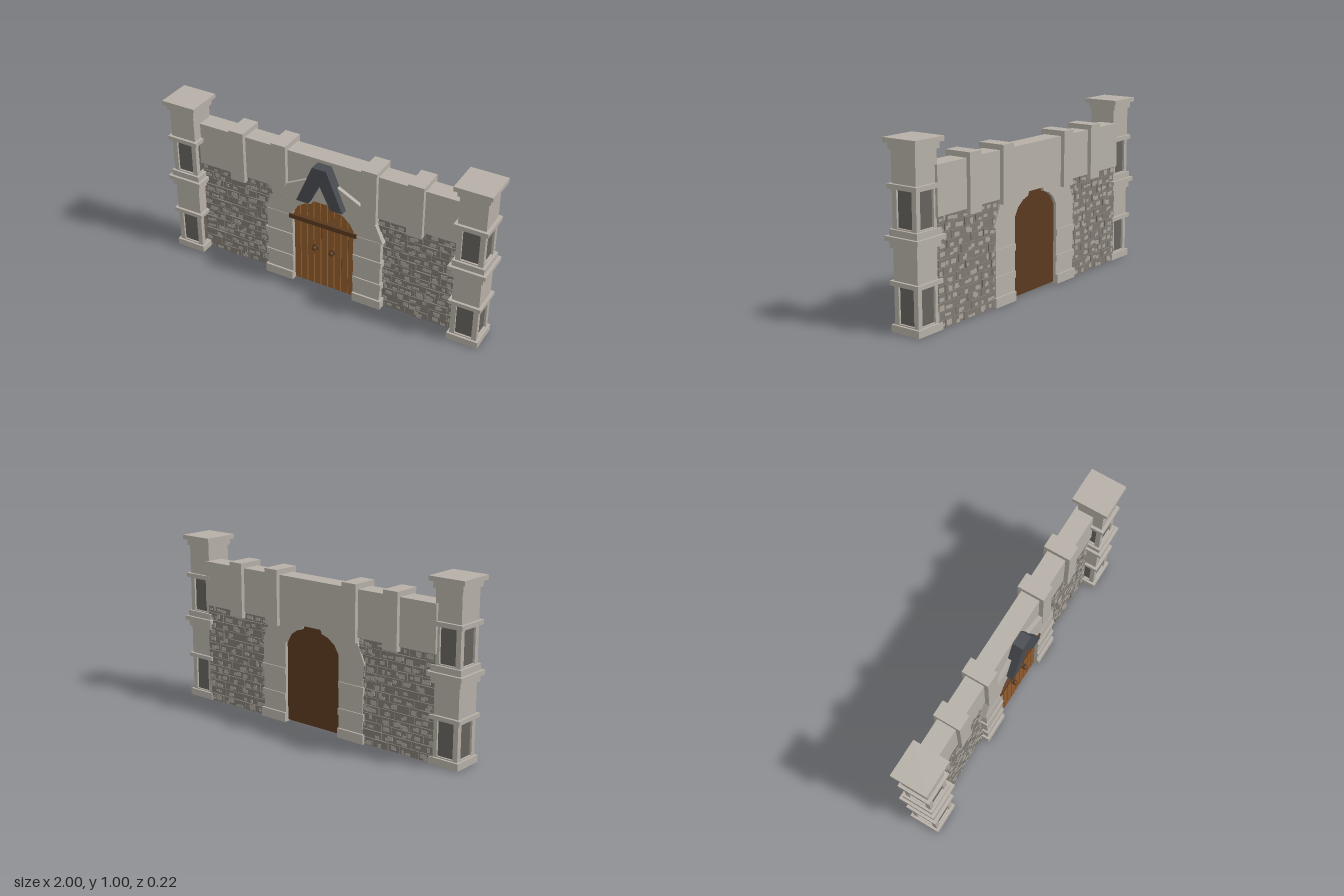
import * as THREE from 'three';

const mat = (color) => new THREE.MeshStandardMaterial({ color, flatShading: true });
const STONE = mat(0xb5afa6), PANEL = mat(0x66625c), BRICK = mat(0x7f7a72), LIGHT = mat(0xaaa49b);
const WOOD = mat(0x8f5a2c), DARKWOOD = mat(0x5a3a1f), IRON = mat(0x484b50);

function add(parent, name, geometry, material) {
  const m = new THREE.Mesh(geometry, material);
  m.name = name;
  parent.add(m);
  return m;
}

// Box given by its extents on each axis
function box(parent, name, material, x0, x1, y0, y1, z0, z1) {
  const m = add(parent, name, new THREE.BoxGeometry(x1 - x0, y1 - y0, z1 - z0), material);
  m.position.set((x0 + x1) / 2, (y0 + y1) / 2, (z0 + z1) / 2);
  return m;
}

// Flat outline pushed from z0 to z1
function slab(parent, name, material, points, z0, z1) {
  const shape = new THREE.Shape(points.map(([x, y]) => new THREE.Vector2(x, y)));
  const m = add(parent, name, new THREE.ExtrudeGeometry(shape, { depth: z1 - z0, bevelEnabled: false }), material);
  m.position.z = z0;
  return m;
}

const mirrored = (pts) => [...pts, ...pts.slice().reverse().map(([x, y]) => [-x, y])];

function seeded(seed) {
  return () => {
    seed = (seed * 16807) % 2147483647;
    return seed / 2147483647;
  };
}

// Square pillar: solid tiers, and panelled tiers with recessed dark faces
function pillar(side) {
  const g = new THREE.Group();
  g.name = side > 0 ? 'leftPillar' : 'rightPillar';
  g.position.set(side * 0.893, 0, 0.003);
  const tiers = [
    ['base', 0, 0.04, 0.092], ['lowerBand', 0.247, 0.27, 0.095], ['lowerShaft', 0.27, 0.44, 0.079],
    ['middleStep', 0.44, 0.477, 0.091], ['middleLedge', 0.477, 0.502, 0.108], ['middlePlinth', 0.502, 0.536, 0.092],
    ['upperBand', 0.741, 0.766, 0.096], ['upperShaft', 0.766, 0.935, 0.079],
    ['capStep', 0.935, 0.97, 0.09], ['cap', 0.97, 0.996, 0.107],
  ];
  for (const [name, y0, y1, h] of tiers) box(g, name, STONE, -h, h, y0, y1, -h, h);
  for (const [y0, y1] of [[0.04, 0.247], [0.536, 0.741]]) {
    box(g, 'recessedPanel', PANEL, -0.067, 0.067, y0, y1, -0.067, 0.067);
    for (const sx of [-1, 1]) for (const sz of [-1, 1]) {
      const m = box(g, 'cornerPost', STONE, -0.0145, 0.0145, y0, y1, -0.0145, 0.0145);
      m.position.x = sx * 0.0645;
      m.position.z = sz * 0.0645;
    }
    // Thin rails closing the frame above and below the panels
    for (const y of [y0, y1 - 0.006]) box(g, 'panelRail', STONE, -0.078, 0.078, y, y + 0.006, -0.078, 0.078);
  }
  return g;
}

// Coursed, mottled stonework on both faces of one wall bay
function brickBay(side) {
  const g = new THREE.Group();
  g.name = side > 0 ? 'leftBrickwork' : 'rightBrickwork';
  const rand = seeded(side > 0 ? 91 : 457);
  const lo = side > 0 ? 0.33 : -0.825, hi = side > 0 ? 0.825 : -0.33;
  box(g, 'mortar', PANEL, lo, hi, 0, 0.6, -0.072, 0.004);
  const rows = 13, h = 0.595 / rows;
  for (let r = 0; r < rows; r++) {
    for (const front of [true, false]) {
      let x = lo + 0.002;
      while (x < hi - 0.01) {
        const end = Math.min(x + 0.05 + rand() * 0.09, hi);
        const out = 0.006 + rand() * 0.007;
        const face = front ? 0.004 + out : -0.072 - out;
        const y0 = r * h + 0.002, y1 = (r + 1) * h - 0.002;
        box(g, 'brick', BRICK, x, end - 0.003, y0, y1, Math.min(face, -0.034), Math.max(face, -0.034));
        // Pale weathered patches on the face
        for (let k = 0; k < 2; k++) {
          const w = 0.015 + rand() * 0.025, px = x + rand() * Math.max(0, end - x - w - 0.003);
          const py = y0 + rand() * 0.014, ph = 0.012 + rand() * 0.014;
          if (px + w < end) box(g, 'palePatch', LIGHT, px, px + w, py, py + ph, face - 0.0015, face + 0.0015);
        }
        x = end;
      }
    }
  }
  return g;
}

// Stepped stone jamb beside the door
function jamb(side) {
  const g = new THREE.Group();
  g.name = side > 0 ? 'leftJamb' : 'rightJamb';
  const blocks = [
    [0, 0.055, 0.375, 0.06, -0.1], [0.055, 0.13, 0.363, 0.048, -0.088], [0.13, 0.17, 0.372, 0.055, -0.095],
    [0.17, 0.285, 0.363, 0.048, -0.088], [0.285, 0.322, 0.372, 0.055, -0.095], [0.322, 0.45, 0.363, 0.048, -0.088],
  ];
  for (const [y0, y1, x, zf, zb] of blocks) {
    const a = side * 0.195, b = side * x;
    box(g, 'jambBlock', STONE, Math.min(a, b), Math.max(a, b), y0, y1, zb, zf);
  }
  return g;
}

function door() {
  const g = new THREE.Group();
  g.name = 'door';
  // Height of the rounded door head at distance x from the middle
  const head = [[0, 0.59], [0.065, 0.59], [0.075, 0.567], [0.12, 0.553], [0.165, 0.52], [0.2, 0.465]];
  const topAt = (x) => {
    const a = Math.abs(x);
    const i = Math.max(1, head.findIndex((p) => p[0] >= a));
    const [p, q] = [head[i - 1], head[i]];
    return p[1] + ((q[1] - p[1]) * (a - p[0])) / (q[0] - p[0]);
  };
  slab(g, 'doorBacking', DARKWOOD, mirrored([[0.197, 0.01], ...head.slice(1).reverse().map(([x, y]) => [Math.min(x, 0.197), y])]), -0.07, 0.02);
  const n = 9, w = 0.39 / n;
  for (let i = 0; i < n; i++) {
    const a = -0.195 + i * w + 0.003, b = a + w - 0.006;
    const top = [0, 0.25, 0.5, 0.75, 1].map((t) => b + (a - b) * t).map((x) => [x, topAt(x) - 0.001]);
    slab(g, 'plank', WOOD, [[a, 0.01], [b, 0.01], ...top], 0.015, 0.03);
  }
  box(g, 'crossBeam', DARKWOOD, -0.215, 0.215, 0.432, 0.46, 0.02, 0.052);
  for (const s of [-1, 1]) {
    const plate = add(g, 'handlePlate', new THREE.CylinderGeometry(0.018, 0.018, 0.008, 12).rotateX(Math.PI / 2), DARKWOOD);
    plate.position.set(s * 0.055, 0.27, 0.033);
    const knob = add(g, 'knob', new THREE.SphereGeometry(0.015, 10, 8), DARKWOOD);
    knob.position.set(s * 0.055, 0.27, 0.047);
  }
  return g;
}

export function createModel() {
  const root = new THREE.Group();
  root.name = 'gateWall';

  for (const s of [-1, 1]) {
    root.add(pillar(s), brickBay(s), jamb(s));
    // Upright blocks straddling the parapet
    for (const [a, b] of [[0.51, 0.603], [0.235, 0.328]]) {
      box(root, 'merlon', STONE, s > 0 ? a : -b, s > 0 ? b : -a, 0.565, 0.886, -0.114, 0.048);
    }
  }
  box(root, 'parapet', STONE, -0.83, 0.83, 0.592, 0.856, -0.091, 0.022);

  // Arched surround over the door
  const surround = [
    [0.195, 0.445], [0.375, 0.445], [0.322, 0.567], [0.235, 0.65], [0.06, 0.74],
  ];
  const opening = [[-0.195, 0.47], [-0.165, 0.52], [-0.12, 0.553], [-0.075, 0.567], [-0.065, 0.59]];
  slab(root, 'archSurround', STONE,
    [...mirrored(surround), ...opening, ...opening.slice().reverse().map(([x, y]) => [-x, y])], -0.089, 0.045);

  root.add(door());

  // Dark split keystone
  slab(root, 'keystone', IRON, [
    [-0.145, 0.595], [-0.07, 0.595], [0, 0.737], [0.07, 0.595], [0.145, 0.595], [0.043, 0.836], [-0.043, 0.836],
  ], 0.015, 0.087);

  return root;
}
